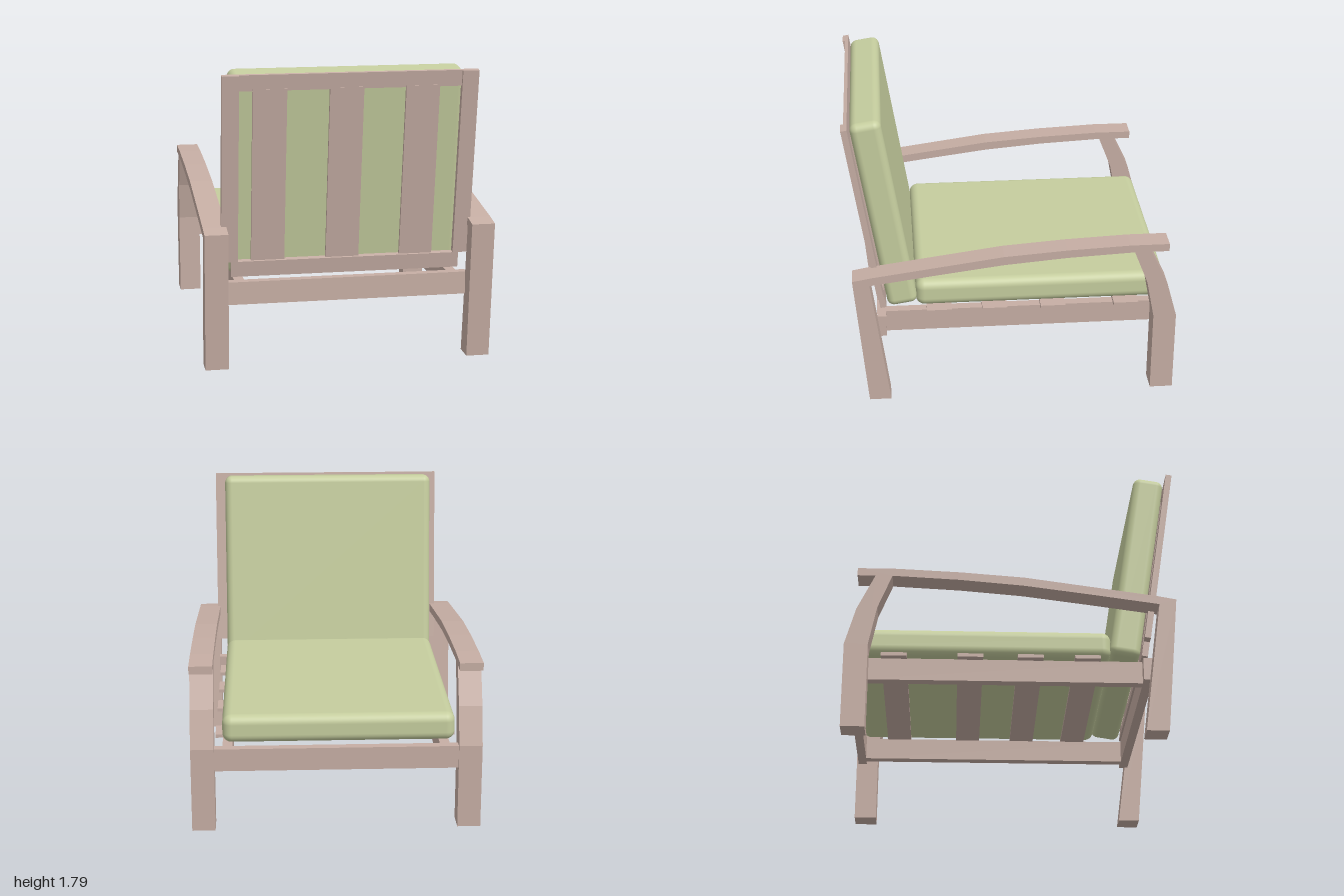
import * as THREE from 'three';
import { RoundedBoxGeometry } from 'three/addons/geometries/RoundedBoxGeometry.js';

const wood = new THREE.MeshStandardMaterial({ color: 0xc6aea4 });
wood.name = 'wood';
const fabric = new THREE.MeshStandardMaterial({ color: 0xc5cd9e });
fabric.name = 'greenFabric';

function add(parent, name, geometry, material) {
  const mesh = new THREE.Mesh(geometry, material);
  mesh.name = name;
  parent.add(mesh);
  return mesh;
}

// Box given by its min and max on each axis
function bar(parent, name, x0, x1, y0, y1, z0, z1) {
  const mesh = add(parent, name, new THREE.BoxGeometry(x1 - x0, y1 - y0, z1 - z0), wood);
  mesh.position.set((x0 + x1) / 2, (y0 + y1) / 2, (z0 + z1) / 2);
  return mesh;
}

// Side outline of [z, y] points, extruded across x
function sidePanel(parent, name, points, x0, x1) {
  const shape = new THREE.Shape(points.map(([z, y]) => new THREE.Vector2(z, y)));
  const geometry = new THREE.ExtrudeGeometry(shape, { depth: x1 - x0, bevelEnabled: false });
  geometry.rotateY(-Math.PI / 2);
  geometry.translate(x1, 0, 0);
  return add(parent, name, geometry, wood);
}

const REAR_LEG = [[0.895, 0], [0.762, 0], [0.868, 0.815], [0.86, 0.865], [0.97, 0.845]];
const FRONT_LEG = [
  [-0.857, 0], [-0.997, 0], [-0.997, 0.52], [-0.933, 0.75], [-0.826, 0.975],
  [-0.725, 0.975], [-0.81, 0.76], [-0.857, 0.52],
];
const ARM = [
  [0.97, 0.845], [0.86, 0.865], [0.46, 0.92], [0.06, 0.975], [-0.32, 1.003], [-0.7, 1.02], [-0.935, 1.02],
  [-0.935, 0.972], [-0.72, 0.972], [-0.32, 0.952], [0.06, 0.92], [0.46, 0.868], [0.868, 0.812],
];

export function createModel() {
  const chair = new THREE.Group();
  chair.name = 'loungeChair';

  // Legs, arms and side rails on both sides
  for (const [side, s] of [['left', 1], ['right', -1]]) {
    const x0 = s > 0 ? 0.73 : -0.87;
    sidePanel(chair, side + 'RearLeg', REAR_LEG, x0, x0 + 0.14);
    sidePanel(chair, side + 'FrontLeg', FRONT_LEG, x0, x0 + 0.14);
    sidePanel(chair, side + 'Armrest', ARM, x0, x0 + 0.14);
    const r = s > 0 ? 0.62 : -0.68;
    bar(chair, side + 'SideRail', r, r + 0.06, 0.378, 0.517, -0.94, 0.79);
  }

  // Cross rails joining the legs
  bar(chair, 'frontRail', -0.74, 0.74, 0.378, 0.517, -0.985, -0.93);
  bar(chair, 'rearRail', -0.74, 0.74, 0.378, 0.517, 0.775, 0.83);

  // Seat slats
  for (const z of [-0.71, -0.255, 0.105, 0.447]) {
    bar(chair, 'seatSlat', -0.725, 0.725, 0.515, 0.537, z - 0.077, z + 0.077);
  }

  // Leaning back frame: local y runs up the slope, local z = 0 is the rear face
  const back = new THREE.Group();
  back.name = 'backFrame';
  back.position.set(0, 0.54, 0.808);
  back.rotation.x = Math.atan(0.153);
  chair.add(back);
  const k = 1 / Math.cos(back.rotation.x);
  const backBar = (name, x0, x1, y0, y1, z0, z1) =>
    bar(back, name, x0, x1, (y0 - 0.54) * k, (y1 - 0.54) * k, z0, z1);
  backBar('backStile', -0.76, -0.66, 0.64, 1.775, -0.037, 0);
  backBar('backStile', 0.65, 0.747, 0.64, 1.775, -0.037, 0);
  backBar('backTopRail', -0.66, 0.65, 1.68, 1.775, -0.037, -0.016);
  backBar('backLowerRail', -0.7, 0.685, 0.545, 0.64, -0.037, 0);
  for (const x of [-0.48, -0.03, 0.42]) {
    backBar('backSlat', x - 0.1, x + 0.1, 0.63, 1.69, -0.035, -0.014);
  }

  // Cushions
  const seat = add(chair, 'seatCushion', new RoundedBoxGeometry(1.39, 0.173, 1.545, 5, 0.055), fabric);
  seat.position.set(-0.015, 0.623, -0.183);
  const rest = add(chair, 'backCushion', new RoundedBoxGeometry(1.39, 1.245, 0.187, 5, 0.045), fabric);
  rest.position.set(-0.015, 1.168, 0.764);
  rest.rotation.x = 0.156;

  return chair;
}
